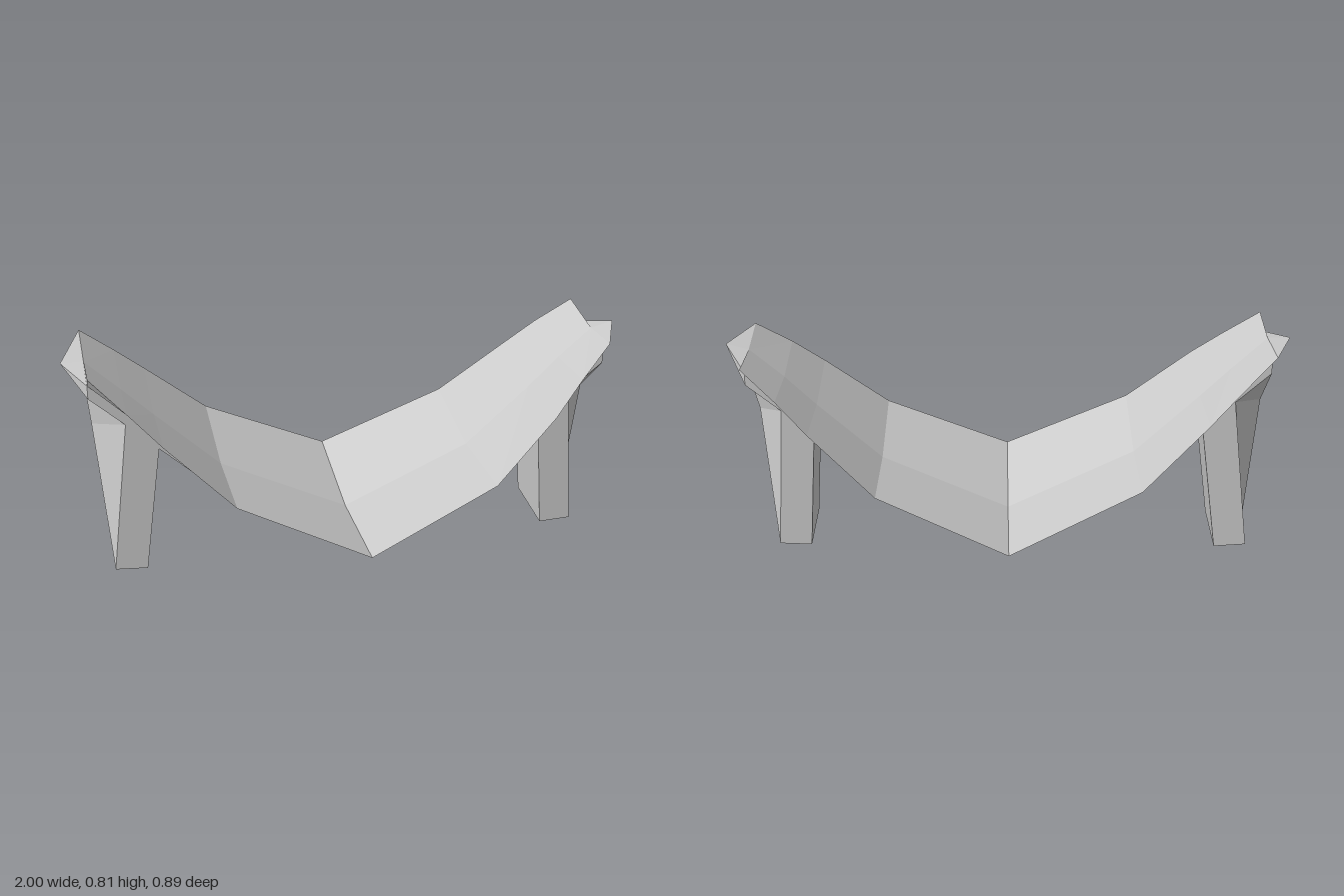
import * as THREE from 'three';

const MID = -0.01, RIB_FRONT = 0.125, RIB_BACK = -0.145;

// Stations: x, edge height, front edge z, back edge z, keel x
const STATIONS = [
  [-0.92, 0.805, 0.185, -0.24, -0.92],
  [-0.80, 0.695, 0.255, -0.29, -0.91],
  [-0.69, 0.59, 0.318, -0.335, -0.69],
  [-0.46, 0.375, 0.395, -0.405, -0.46],
  [0, 0.15, 0.445, -0.45, 0],
  [0.46, 0.355, 0.395, -0.405, 0.46],
  [0.69, 0.56, 0.318, -0.335, 0.69],
  [0.80, 0.665, 0.255, -0.29, 0.895],
  [0.92, 0.765, 0.185, -0.24, 0.92],
];

// Cross-section: front edge, centre, back edge, rib back upper/lower, keel, rib front lower/upper
const section = ([x, y, front, back, keelX]) => [
  [x, y, front],
  [x, y - 0.05 * (front - back), MID],
  [x, y, back],
  [x, y - 0.05, RIB_BACK],
  [x, y - 0.1, RIB_BACK],
  [keelX, y - 0.15, MID],
  [x, y - 0.1, RIB_FRONT],
  [x, y - 0.05, RIB_FRONT],
];

// Flat-sided mesh from a list of triangles and quads
function facetMesh(name, faces) {
  const pos = [];
  for (const f of faces) {
    for (let i = 1; i < f.length - 1; i++) pos.push(...f[0], ...f[i], ...f[i + 1]);
  }
  const geo = new THREE.BufferGeometry();
  geo.setAttribute('position', new THREE.Float32BufferAttribute(pos, 3));
  geo.computeVertexNormals();
  const mesh = new THREE.Mesh(geo, new THREE.MeshStandardMaterial({
    color: 0xcccccc, flatShading: true, side: THREE.DoubleSide,
  }));
  mesh.name = name;
  return mesh;
}

// The left and right ends are half-turns of each other, so swap front and back
const halfTurn = (s) => [2, 1, 0, 7, 6, 5, 4, 3].map((k) => s[k]);

// Pointed end: only one corner of the seat joins the tip
function endFaces([F, C, B, Bu, Bl, K, Fl, Fu], tip) {
  return [
    [F, tip, C], [F, Fu, tip], [tip, Bu, C], [C, Bu, B],
    [Fu, Fl, K, tip], [tip, K, Bl, Bu],
  ];
}

// Leg: flat inside and sides, ridged outside
function legFaces(inner, outer, inX, inY, outX, outY) {
  const Fi = inner[6], Bi = inner[4], Fo = outer[6], Bo = outer[4], K = outer[5];
  const fiF = [inX, inY, Fi[2]], fiB = [inX, inY, Bi[2]];
  const foF = [outX, outY, Fo[2]], foB = [outX, outY, Bo[2]], foC = [outX, outY, MID];
  return [
    [Fo, foF, foC, K], [K, foC, foB, Bo],
    [Bi, fiB, fiF, Fi],
    [Fi, fiF, foF, Fo], [Bo, foB, fiB, Bi],
    [fiF, fiB, foB, foF],
  ];
}

export function createModel() {
  const group = new THREE.Group();
  group.name = 'slungSeat';
  const s = STATIONS.map(section);
  const last = s.length - 1;

  // Seat with rib and keel beneath; the keel is interrupted by the legs
  const seat = [];
  for (let i = 0; i < last; i++) {
    for (let k = 0; k < 8; k++) {
      const n = (k + 1) % 8;
      const atLeg = i === 1 || i === last - 2;
      if (atLeg && (k === 4 || k === 5)) continue;
      seat.push([s[i][k], s[i + 1][k], s[i + 1][n], s[i][n]]);
    }
  }
  group.add(facetMesh('seat', seat));

  // Pointed ends
  group.add(facetMesh('leftEnd', endFaces(s[last], [1, 0.765, MID])));
  group.add(facetMesh('rightEnd', endFaces(halfTurn(s[0]), [-1, 0.785, MID])));

  // Legs
  group.add(facetMesh('leftLeg', legFaces(s[6], s[7], 0.72, 0.025, 0.835, 0.03)));
  group.add(facetMesh('rightLeg',
    legFaces(halfTurn(s[2]), halfTurn(s[1]), -0.755, 0.012, -0.87, 0.02)));

  return group;
}
